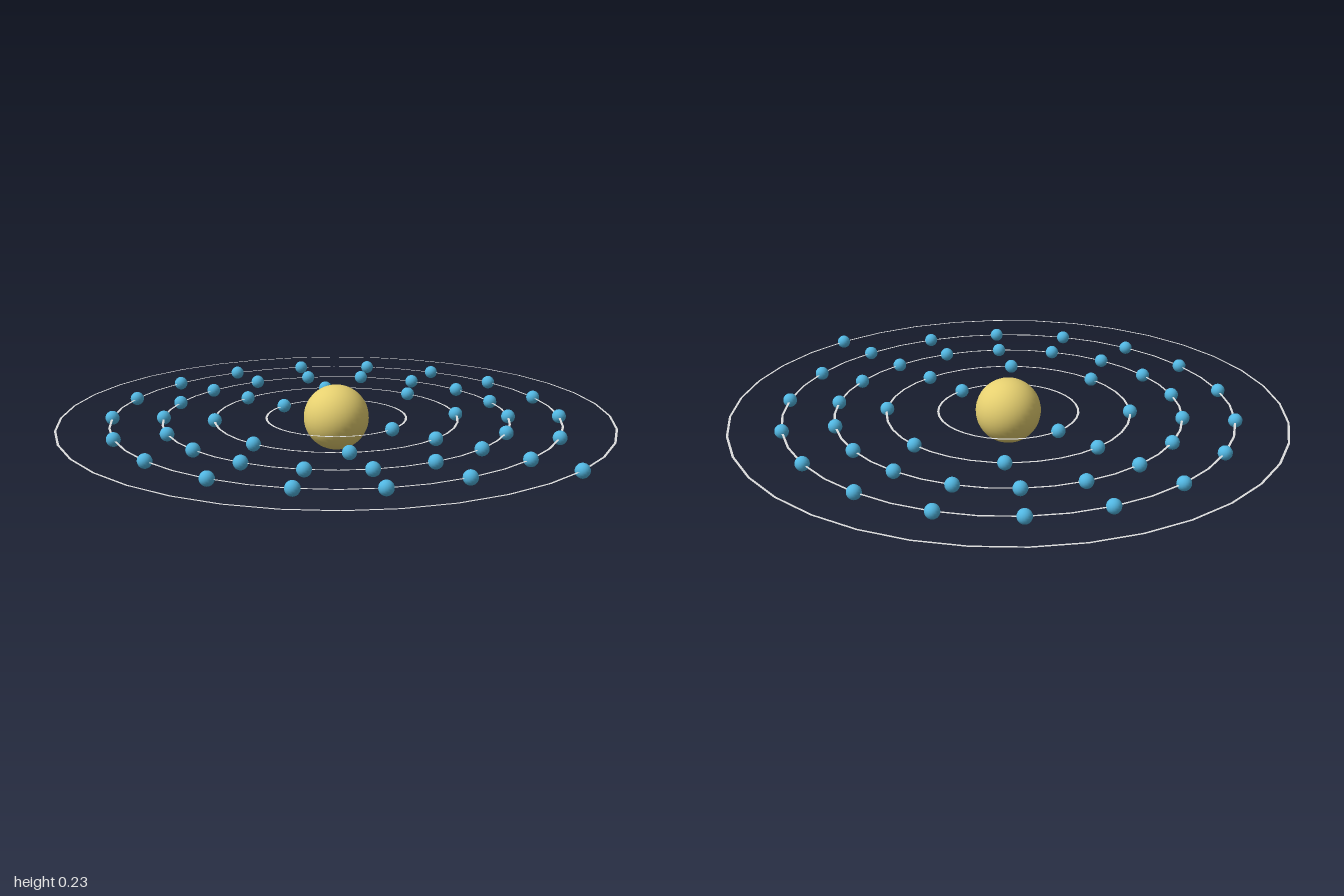
import * as THREE from 'three';

export function createModel() {
  const model = new THREE.Group();
  model.name = 'shellModel';

  const gold = new THREE.MeshStandardMaterial({ name: 'nucleusGold', color: 0xe6d070 });
  const blue = new THREE.MeshStandardMaterial({ name: 'electronBlue', color: 0x52b7e2 });
  const pale = new THREE.MeshStandardMaterial({ name: 'orbitPaleGrey', color: 0xdddddd, side: THREE.DoubleSide });

  const nucleusRadius = 0.117;
  const electronRadius = 0.025;
  const ringHalfWidth = 0.004;
  const counts = [2, 8, 18, 18, 1]; // electrons per shell, inside to outside

  // everything shares one centre; the lone outer electron shifts it slightly in x
  const atom = new THREE.Group();
  atom.name = 'atom';
  atom.position.set(-0.011, nucleusRadius, 0);
  model.add(atom);

  const nucleus = new THREE.Mesh(new THREE.SphereGeometry(nucleusRadius, 32, 24), gold);
  nucleus.name = 'nucleus';
  atom.add(nucleus);

  const electronGeometry = new THREE.SphereGeometry(electronRadius, 16, 12);

  counts.forEach((count, i) => {
    const radius = 0.2505 + i * 0.1837;
    const shell = new THREE.Group();
    shell.name = `shell${i + 1}`;
    atom.add(shell);

    // flat orbit ring
    const ringGeometry = new THREE.RingGeometry(radius - ringHalfWidth, radius + ringHalfWidth, 36);
    ringGeometry.rotateX(-Math.PI / 2);
    const ring = new THREE.Mesh(ringGeometry, pale);
    ring.name = 'orbitRing';
    shell.add(ring);

    // evenly spaced electrons, starting on +x
    for (let k = 0; k < count; k++) {
      const a = (k / count) * Math.PI * 2;
      const electron = new THREE.Mesh(electronGeometry, blue);
      electron.name = 'electron';
      electron.position.set(radius * Math.cos(a), 0, radius * Math.sin(a));
      shell.add(electron);
    }
  });

  return model;
}
